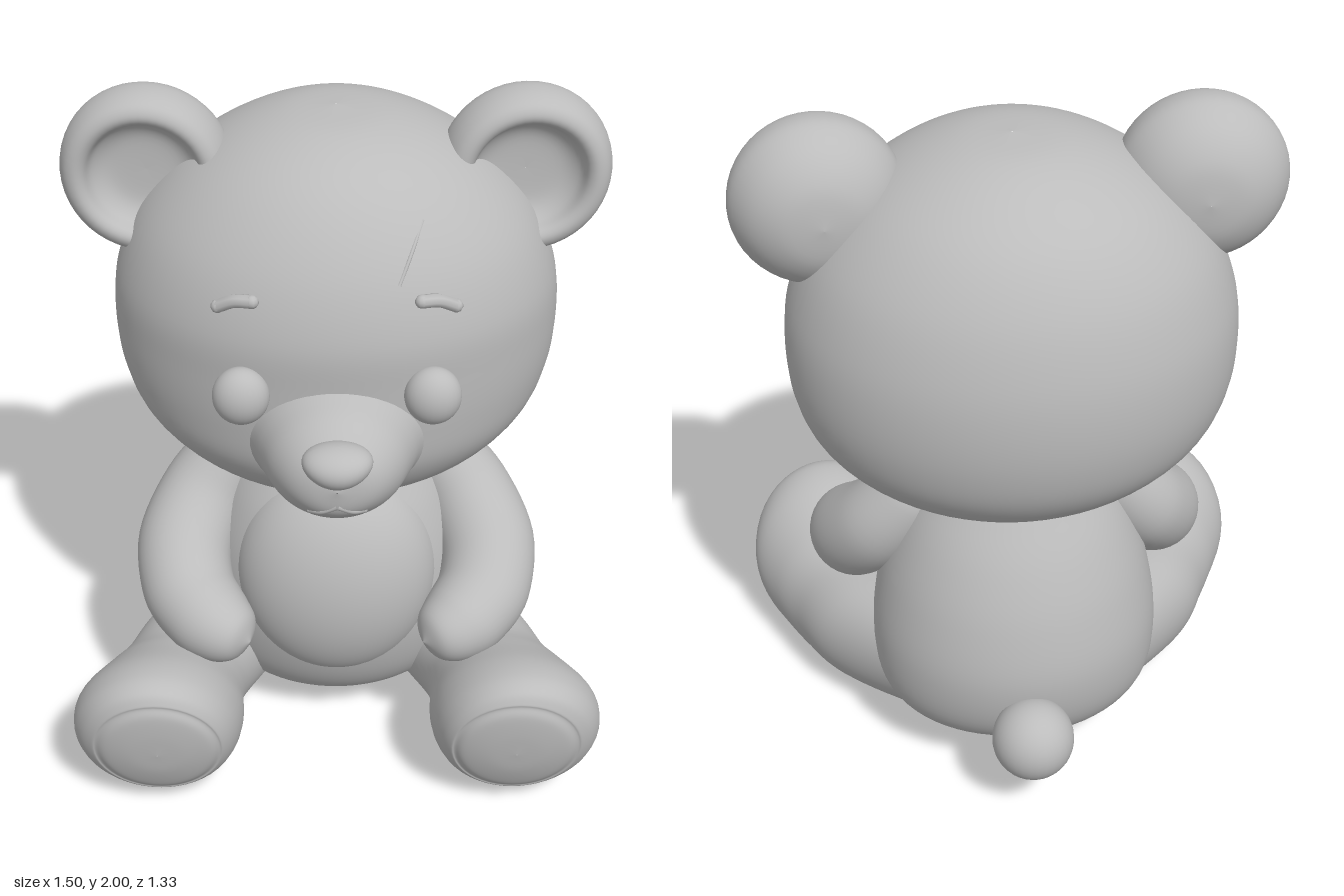
import * as THREE from 'three';

const V = (x, y, z) => new THREE.Vector3(x, y, z);
const plush = new THREE.MeshStandardMaterial({ color: 0xbcbcbc });
plush.name = 'plush grey';

function add(parent, name, geometry) {
  const mesh = new THREE.Mesh(geometry, plush);
  mesh.name = name;
  parent.add(mesh);
  return mesh;
}

// Ellipsoid placed by centre and radii
function ball(parent, name, c, r, seg = 40) {
  const mesh = add(parent, name, new THREE.SphereGeometry(1, seg, Math.round(seg * 0.7)));
  mesh.position.set(...c);
  mesh.scale.set(...r);
  return mesh;
}

// Smooth closed skin over elliptical rings { c, u, v }; u x v points along the skin
function skin(rings, around = 48, perRing = 6) {
  const [C, U, W] = ['c', 'u', 'v'].map(
    (k) => new THREE.CatmullRomCurve3(rings.map((r) => r[k]), false, 'catmullrom', 0.5));
  const steps = (rings.length - 1) * perRing;
  const pos = [], index = [];
  for (let i = 0; i <= steps; i++) {
    const c = C.getPoint(i / steps), u = U.getPoint(i / steps), v = W.getPoint(i / steps);
    for (let j = 0; j < around; j++) {
      const a = (j / around) * Math.PI * 2;
      const p = c.clone().addScaledVector(u, Math.cos(a)).addScaledVector(v, Math.sin(a));
      pos.push(p.x, p.y, p.z);
      if (i === steps) continue;
      const k = (j + 1) % around, A = i * around + j, B = i * around + k;
      index.push(A, B, B + around, A, B + around, A + around);
    }
  }
  const g = new THREE.BufferGeometry();
  g.setAttribute('position', new THREE.Float32BufferAttribute(pos, 3));
  g.setIndex(index);
  g.computeVertexNormals();
  return g;
}

// Upright form from rows of [y, half width, back z, front z]
const upright = (rows) => skin(rows.map(([y, w, back, front]) => ({
  c: V(0, y, (back + front) / 2), u: V(0, 0, (front - back) / 2), v: V(w, 0, 0),
})), 64);

// Forward form from rows of [z, x, y, half width, half height, lean]
const forward = (rows, s = 1) => skin(rows.map(([z, x, y, w, h, lean]) => ({
  c: V(s * x, y, z), u: V(w, 0, 0), v: V(0, h, h * lean),
})));

const tube = (points, r) => new THREE.TubeGeometry(new THREE.CatmullRomCurve3(points), 16, r, 8);

function buildHead() {
  const head = new THREE.Group();
  head.name = 'head';
  add(head, 'skull', upright([
    [0.908, 0.002, -0.06, -0.058], [0.915, 0.2, -0.27, 0.16], [0.94, 0.33, -0.38, 0.25],
    [1.0, 0.45, -0.48, 0.33], [1.1, 0.545, -0.56, 0.39], [1.22, 0.592, -0.6, 0.41],
    [1.36, 0.605, -0.613, 0.42], [1.5, 0.59, -0.6, 0.422], [1.65, 0.53, -0.555, 0.38],
    [1.78, 0.42, -0.475, 0.3], [1.87, 0.29, -0.365, 0.2], [1.923, 0.15, -0.24, 0.07],
    [1.938, 0.002, -0.091, -0.089],
  ]));

  // Muzzle flaring into the face, nose and mouth
  add(head, 'muzzle', forward([
    [0.24, 0, 1.2, 0.31, 0.27, 0], [0.31, 0, 1.2, 0.265, 0.225, 0], [0.37, 0, 1.2, 0.226, 0.188, 0],
    [0.43, 0, 1.197, 0.2, 0.173, 0], [0.5, 0, 1.195, 0.17, 0.15, 0], [0.56, 0, 1.195, 0.125, 0.108, 0],
    [0.592, 0, 1.195, 0.073, 0.068, 0], [0.605, 0, 1.195, 0.002, 0.002, 0],
  ]));
  const nose = new THREE.SphereGeometry(1, 32, 24);
  const np = nose.attributes.position;
  for (let i = 0; i < np.count; i++) np.setX(i, np.getX(i) * (1 + 0.2 * np.getY(i)));
  nose.computeVertexNormals();
  const noseMesh = add(head, 'nose', nose);
  noseMesh.position.set(0, 1.27, 0.59);
  noseMesh.scale.set(0.088, 0.057, 0.072);
  for (const s of [-1, 1])
    add(head, 'mouth', tube([V(0, 1.145, 0.592), V(s * 0.04, 1.122, 0.579), V(s * 0.072, 1.112, 0.558)], 0.009));

  // Ear: domed back, rolled rim, hollow front
  const earProfile = new THREE.SplineCurve([
    [0.0005, -0.24], [0.1, -0.226], [0.175, -0.18], [0.22, -0.11], [0.224, -0.05], [0.207, 0],
    [0.18, 0.018], [0.155, 0.008], [0.135, -0.03], [0.09, -0.055], [0.0005, -0.06],
  ].map(([r, y]) => new THREE.Vector2(r, y))).getPoints(50);

  for (const s of [-1, 1]) {
    const ear = add(head, 'ear', new THREE.LatheGeometry(earProfile, 48));
    ear.rotation.set(Math.PI / 2, 0, -s * 0.06);
    ear.position.set(s * 0.502, 1.77, 0.003);
    ear.scale.setScalar(1.015);
    ball(head, 'eye', [s * 0.245, 1.355, 0.4], [0.074, 0.08, 0.06], 28);
    const inner = V(s * 0.212, 1.613, 0.37), outer = V(s * 0.3, 1.583, 0.338);
    add(head, 'brow', tube([inner, V(s * 0.255, 1.607, 0.355), outer], 0.018));
    for (const p of [inner, outer]) ball(head, 'browEnd', p.toArray(), [0.018, 0.018, 0.018], 10);
  }
  // Small stitched crease on the forehead
  add(head, 'foreheadCrease', tube([V(0.155, 1.65, 0.357), V(0.185, 1.715, 0.312), V(0.215, 1.775, 0.244)], 0.005));
  return head;
}

function buildTorso() {
  const torso = new THREE.Group();
  torso.name = 'torso';
  add(torso, 'body', upright([
    [0.085, 0.002, -0.08, -0.078], [0.092, 0.2, -0.23, 0.05], [0.14, 0.32, -0.38, 0.125],
    [0.25, 0.395, -0.475, 0.19], [0.42, 0.41, -0.51, 0.232], [0.6, 0.385, -0.485, 0.228],
    [0.75, 0.34, -0.435, 0.185], [0.87, 0.285, -0.375, 0.12], [0.97, 0.22, -0.31, 0.07],
    [1.05, 0.1, -0.2, 0.0],
  ]));
  const patch = ball(torso, 'bellyPatch', [0, 0.56, 0.075], [0.29, 0.34, 0.2], 56);
  patch.rotation.x = -0.08;
  ball(torso, 'tail', [0, 0.283, -0.548], [0.115, 0.118, 0.115], 32);
  return torso;
}

function buildArm(s) {
  // Rows of [x, y, z, radius] from shoulder to paw
  const rows = [
    [0.25, 0.95, -0.12, 0.002], [0.26, 0.93, -0.12, 0.06], [0.285, 0.86, -0.115, 0.105],
    [0.375, 0.735, -0.075, 0.128], [0.437, 0.62, 0.035, 0.137], [0.425, 0.54, 0.15, 0.132],
    [0.37, 0.505, 0.235, 0.122], [0.32, 0.493, 0.28, 0.106], [0.27, 0.485, 0.315, 0.07],
    [0.245, 0.48, 0.33, 0.002],
  ];
  const pts = rows.map(([x, y, z]) => V(s * x, y, z));
  return skin(rows.map(([, , , r], i) => {
    const t = pts[Math.min(i + 1, pts.length - 1)].clone().sub(pts[Math.max(i - 1, 0)]).normalize();
    // Side reference that stays clear of the arm's direction
    const u = V(s, 0.6, 0.5);
    u.addScaledVector(t, -u.dot(t)).setLength(r);
    return { c: pts[i], u, v: t.clone().cross(u) };
  }), 36);
}

// Leg widening into a rounded foot with a soft, slightly domed sole
const buildLeg = (s) => forward([
  [-0.34, 0.14, 0.29, 0.002, 0.002, 0], [-0.3, 0.17, 0.285, 0.11, 0.11, 0],
  [-0.18, 0.235, 0.265, 0.17, 0.172, 0], [0, 0.365, 0.23, 0.2, 0.195, 0],
  [0.15, 0.445, 0.215, 0.195, 0.2, 0.1], [0.25, 0.482, 0.228, 0.21, 0.22, 0.15],
  [0.36, 0.505, 0.25, 0.238, 0.247, 0.22], [0.44, 0.51, 0.26, 0.235, 0.249, 0.25],
  [0.498, 0.508, 0.265, 0.213, 0.228, 0.25], [0.53, 0.503, 0.268, 0.185, 0.196, 0.23],
  [0.534, 0.502, 0.268, 0.172, 0.182, 0.23], [0.553, 0.5, 0.27, 0.145, 0.15, 0.21],
  [0.568, 0.5, 0.275, 0.08, 0.08, 0.18], [0.572, 0.5, 0.275, 0.002, 0.002, 0.18],
], s);

export function createModel() {
  const bear = new THREE.Group();
  bear.name = 'teddyBear';
  bear.add(buildHead(), buildTorso());
  for (const s of [-1, 1]) {
    const side = s > 0 ? 'left' : 'right';
    add(bear, side + 'Arm', buildArm(s));
    add(bear, side + 'Leg', buildLeg(s));
  }
  return bear;
}
